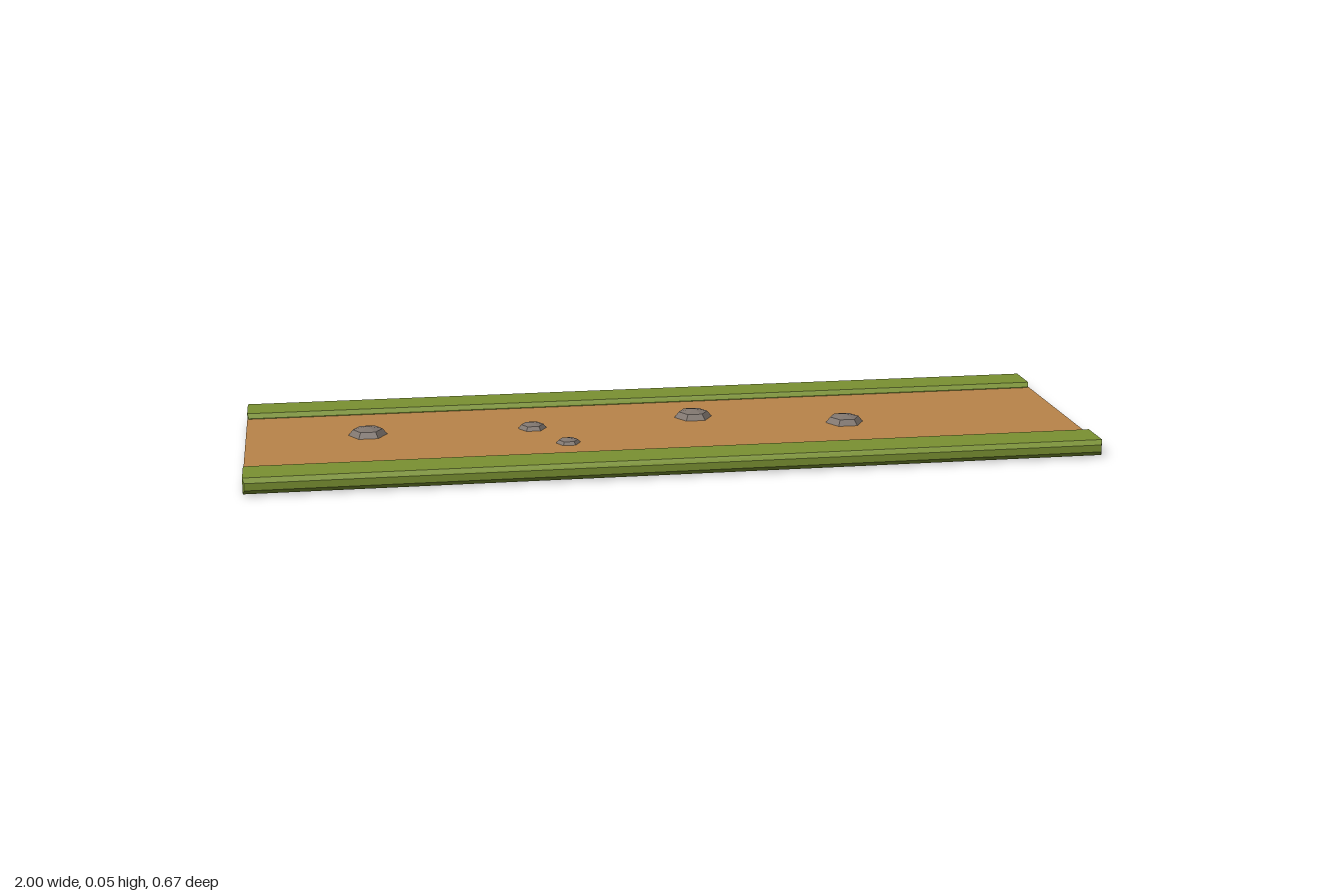
import * as THREE from 'three';
import { ConvexGeometry } from 'three/addons/geometries/ConvexGeometry.js';

function material(name, color) {
  const m = new THREE.MeshStandardMaterial({ color, flatShading: true });
  m.name = name;
  return m;
}

// Long box whose inner and outer sides taper to a narrower band
function bevelledStrip(hx, hy, hz, bx, by, bz) {
  const points = [];
  for (const x of [-1, 1]) for (const y of [-1, 1]) for (const z of [-1, 1]) {
    points.push(new THREE.Vector3(x * hx, y * hy, z * (hz - bz)));
    points.push(new THREE.Vector3(x * (hx - bx), y * (hy - by), z * hz));
  }
  return new ConvexGeometry(points);
}

export function createModel() {
  const group = new THREE.Group();
  group.name = 'pathTile';
  const dirt = material('dirt brown', 0xba854a);
  const grass = material('grass green', 0x7b9232);
  const stone = material('stone grey', 0x80766f);

  function add(name, geometry, mat, x, y, z) {
    const mesh = new THREE.Mesh(geometry, mat);
    mesh.name = name;
    mesh.position.set(x, y, z);
    group.add(mesh);
    return mesh;
  }

  // Dirt path slab
  add('dirtPath', new THREE.BoxGeometry(2, 0.026, 0.466), dirt, 0, 0.016, 0);

  // Grass borders along both long sides
  const border = bevelledStrip(1, 0.019, 0.0555, 0.004, 0.0105, 0.0095);
  add('frontGrassBorder', border, grass, 0, 0.022, 0.2775);
  add('backGrassBorder', border, grass, 0, 0.022, -0.2775);

  // Flattened six-sided stones, half sunk into the path: x, z, radius
  const stones = [
    [-0.711, -0.037, 0.05],
    [-0.315, -0.034, 0.038],
    [-0.244, 0.109, 0.0325],
    [0.088, -0.076, 0.05],
    [0.446, 0.03, 0.05],
  ];
  stones.forEach(([x, z, r], i) => {
    const mesh = add('stone' + (i + 1), new THREE.SphereGeometry(r, 6, 4), stone, x, 0.025, z);
    mesh.scale.y = 0.5;
  });

  return group;
}
